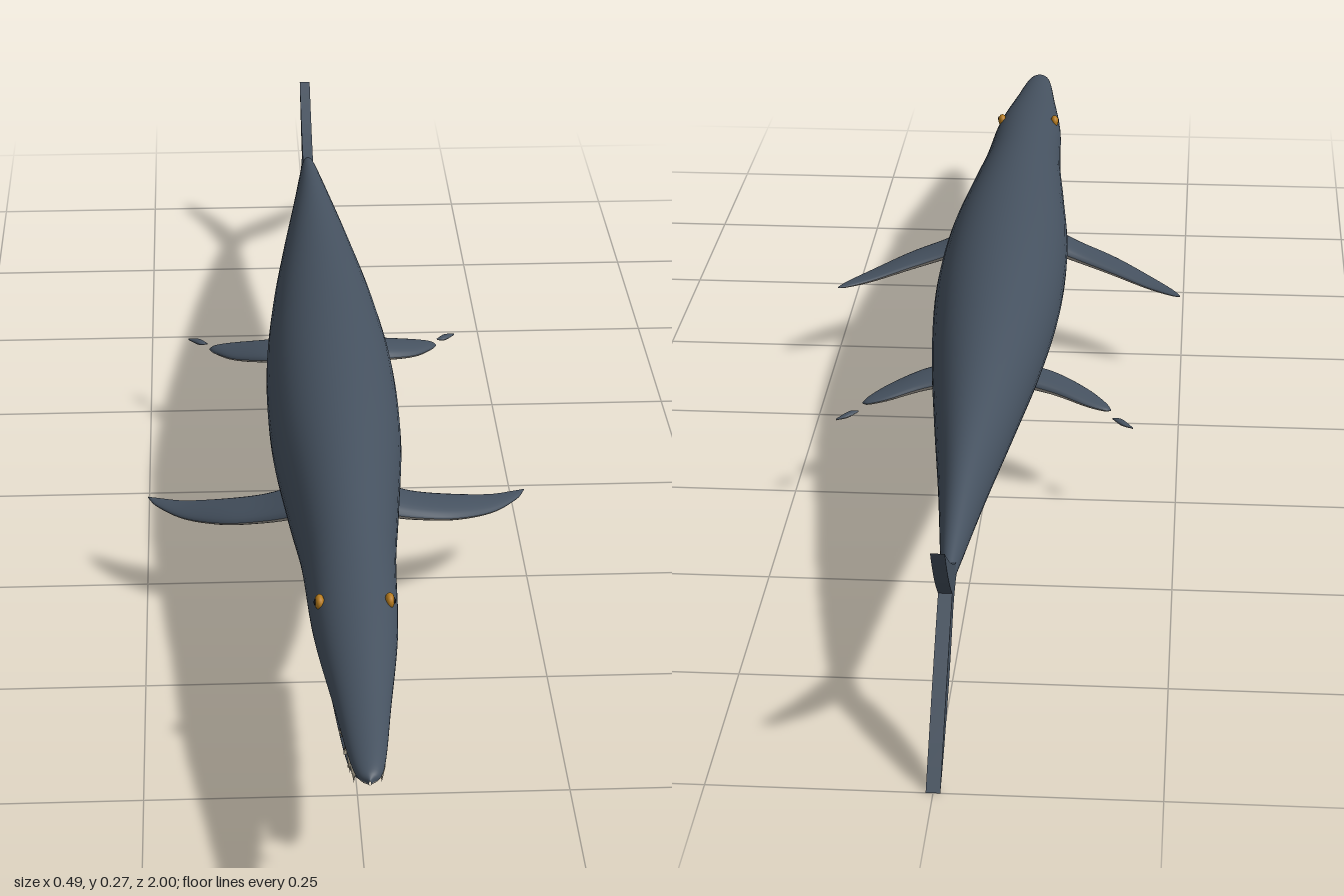
import * as THREE from 'three';

const mat = (name, color, side = THREE.FrontSide) => {
  const m = new THREE.MeshStandardMaterial({ color, side });
  m.name = name;
  return m;
};

// Smooth surface over a grid; fn(u, v) gives the point, both running 0 to 1
function grid(rows, cols, fn) {
  const pos = [], idx = [];
  for (let i = 0; i <= rows; i++)
    for (let j = 0; j <= cols; j++) pos.push(...fn(i / rows, j / cols));
  for (let i = 0; i < rows; i++)
    for (let j = 0; j < cols; j++) {
      const a = i * (cols + 1) + j, b = a + cols + 1;
      idx.push(a, b, a + 1, a + 1, b, b + 1);
    }
  const g = new THREE.BufferGeometry();
  g.setAttribute('position', new THREE.Float32BufferAttribute(pos, 3));
  g.setIndex(idx);
  g.computeVertexNormals();
  return g;
}

// Smoothly interpolates rows of six numbers
function sampler(rows) {
  const curve = (k) => new THREE.CatmullRomCurve3(
    rows.map((r) => new THREE.Vector3(r[k], r[k + 1], r[k + 2])), false, 'catmullrom');
  const a = curve(0), b = curve(3);
  return (u) => [...a.getPoint(u).toArray(), ...b.getPoint(u).toArray()];
}

// Point on a cross-section: z, top, bottom, half width, widest height, colour line
function ring([z, top, bottom, w, mid], angle) {
  const s = Math.sin(angle);
  return [w * Math.cos(angle), mid + s * (s > 0 ? top - mid : mid - bottom), z];
}
const lineAngle = ([, , bottom, , mid, line]) =>
  Math.asin(THREE.MathUtils.clamp((line - mid) / (mid - bottom), -1, 1));

const BODY = [
  [0.997, 0.186, 0.180, 0.001, 0.183, 0.182],
  [0.970, 0.196, 0.175, 0.017, 0.184, 0.182],
  [0.850, 0.211, 0.174, 0.032, 0.186, 0.183],
  [0.700, 0.230, 0.172, 0.049, 0.187, 0.182],
  [0.560, 0.243, 0.165, 0.056, 0.186, 0.178],
  [0.500, 0.248, 0.140, 0.060, 0.184, 0.168],
  [0.380, 0.257, 0.112, 0.071, 0.180, 0.158],
  [0.200, 0.265, 0.092, 0.085, 0.178, 0.145],
  [0.000, 0.265, 0.092, 0.086, 0.178, 0.142],
  [-0.20, 0.253, 0.106, 0.073, 0.176, 0.142],
  [-0.40, 0.235, 0.122, 0.052, 0.174, 0.147],
  [-0.60, 0.212, 0.137, 0.029, 0.170, 0.152],
  [-0.78, 0.177, 0.149, 0.010, 0.164, 0.158],
  [-0.83, 0.161, 0.157, 0.002, 0.159, 0.158],
];
const JAW = [
  [0.880, 0.112, 0.104, 0.001, 0.109, 0.107],
  [0.850, 0.121, 0.105, 0.018, 0.116, 0.111],
  [0.700, 0.143, 0.115, 0.034, 0.137, 0.127],
  [0.550, 0.162, 0.130, 0.045, 0.156, 0.143],
];
// Flipper stations: x, y, z, half chord, half thickness, spare
const FRONT = [
  [0.060, 0.150, 0.310, 0.036, 0.014, 0], [0.100, 0.137, 0.300, 0.033, 0.011, 0],
  [0.150, 0.124, 0.282, 0.031, 0.009, 0], [0.200, 0.112, 0.253, 0.023, 0.006, 0],
  [0.235, 0.108, 0.224, 0.011, 0.003, 0], [0.247, 0.108, 0.210, 0.001, 0.001, 0],
];
const REAR = [
  [0.050, 0.138, -0.165, 0.030, 0.012, 0], [0.090, 0.131, -0.175, 0.030, 0.010, 0],
  [0.130, 0.122, -0.195, 0.025, 0.007, 0], [0.155, 0.117, -0.212, 0.012, 0.004, 0],
  [0.163, 0.115, -0.217, 0.001, 0.001, 0],
];
const REAR_TIP = [
  [0.166, 0.113, -0.240, 0.001, 0.001, 0], [0.178, 0.112, -0.249, 0.008, 0.003, 0],
  [0.193, 0.110, -0.262, 0.001, 0.001, 0],
];

export function createModel() {
  const slate = mat('slate skin', 0x45515f);
  const pale = mat('pale belly', 0xaaa59d);
  const palate = mat('mouth lining', 0x5c5655);
  const ivory = mat('ivory teeth', 0xd6ccb4);
  const amber = mat('amber eye', 0xb57a1c);
  const black = mat('black pupil', 0x15161a);

  const model = new THREE.Group();
  model.name = 'marineReptile';
  const add = (name, geometry, material) => {
    const mesh = new THREE.Mesh(geometry, material);
    mesh.name = name;
    model.add(mesh);
    return mesh;
  };

  // Part of a hull: along u0..u1, around between two angles set by the colour line
  const hull = (at, u0, u1, from, to, rows, cols) => grid(rows, cols, (u, v) => {
    const s = at(u0 + (u1 - u0) * u), a = lineAngle(s);
    return ring(s, THREE.MathUtils.lerp(from(a), to(a), v));
  });
  const right = (a) => a + Math.PI * 2, left = (a) => Math.PI - a;
  const under = (k) => (a) => THREE.MathUtils.lerp(left(a), right(a), k);

  // Body, belly, upper lips and roof of the mouth
  const body = sampler(BODY), headEnd = 4 / 13;
  add('back', hull(body, 0, 1, (a) => a, left, 104, 28), slate);
  add('belly', hull(body, headEnd, 1, left, right, 72, 24), pale);
  add('rightLip', hull(body, 0, headEnd, left, under(0.2), 32, 6), pale);
  add('palate', hull(body, 0, headEnd, under(0.2), under(0.8), 32, 12), palate);
  add('leftLip', hull(body, 0, headEnd, under(0.8), right, 32, 6), pale);

  // Open lower jaw with a closed rear end
  const jaw = sampler(JAW);
  add('lowerJaw', hull(jaw, 0, 1, (a) => a, left, 30, 24), slate);
  add('chin', hull(jaw, 0, 1, left, right, 30, 20), pale);
  add('jawBack', grid(1, 32, (u, v) => {
    const [x, y, z] = ring(JAW[3], v * Math.PI * 2);
    return [x * (1 - u), THREE.MathUtils.lerp(y, 0.146, u), z];
  }), slate);

  // Teeth follow the edges of both jaws
  const tooth = new THREE.ConeGeometry(0.0045, 1, 6);
  for (const side of [-1, 1]) {
    for (let i = 0; i < 11; i++) {
      const s = body(THREE.MathUtils.lerp(0.09, 0.285, i / 10));
      const t = add('upperTooth', tooth, ivory);
      const length = 0.022 + 0.006 * (i % 2);
      t.scale.y = length;
      t.rotation.z = Math.PI;
      t.position.set(side * s[3] * 0.78, 0.179 - length / 2, s[0]);
    }
    for (let i = 0; i < 9; i++) {
      const s = jaw(THREE.MathUtils.lerp(0.2, 0.88, i / 8));
      const t = add('lowerTooth', tooth, ivory);
      t.scale.y = 0.022;
      t.position.set(side * s[3] * 0.85, s[4] + 0.011, s[0]);
    }

    // Eyes
    const eye = add('eye', new THREE.SphereGeometry(0.01, 16, 12), amber);
    eye.position.set(side * 0.041, 0.216, 0.67);
    eye.scale.set(0.6, 0.9, 1);
    const pupil = add('pupil', new THREE.SphereGeometry(0.004, 12, 8), black);
    pupil.position.set(side * 0.0458, 0.217, 0.672);
    pupil.scale.x = 0.5;

    // Flippers, dark above and pale below
    for (const [name, rows] of [['frontFlipper', FRONT], ['rearFlipper', REAR], ['rearFlipperTip', REAR_TIP]]) {
      const at = sampler(rows);
      const half = (start) => grid(24, 12, (u, v) => {
        const [x, y, z, chord, thick] = at(u);
        const a = start + Math.PI * (side > 0 ? v : 1 - v);
        return [side * x, y + thick * Math.sin(a), z + chord * Math.cos(a)];
      });
      add(name + 'Top', half(0), slate);
      add(name + 'Underside', half(Math.PI), pale);
    }
  }

  // Forked upright tail fin, drawn as z, y
  const fin = new THREE.Shape();
  fin.moveTo(-0.77, 0.166);
  fin.quadraticCurveTo(-0.83, 0.185, -0.925, 0.252);
  fin.quadraticCurveTo(-0.885, 0.195, -0.835, 0.158);
  fin.quadraticCurveTo(-0.90, 0.105, -1.0, 0.0);
  fin.quadraticCurveTo(-0.89, 0.055, -0.83, 0.128);
  fin.quadraticCurveTo(-0.81, 0.15, -0.77, 0.156);
  const finGeometry = new THREE.ExtrudeGeometry(fin, { depth: 0.016, bevelEnabled: false, curveSegments: 10 });
  finGeometry.rotateY(-Math.PI / 2).translate(0.008, 0, 0);
  add('tailFin', finGeometry, slate);

  return model;
}
